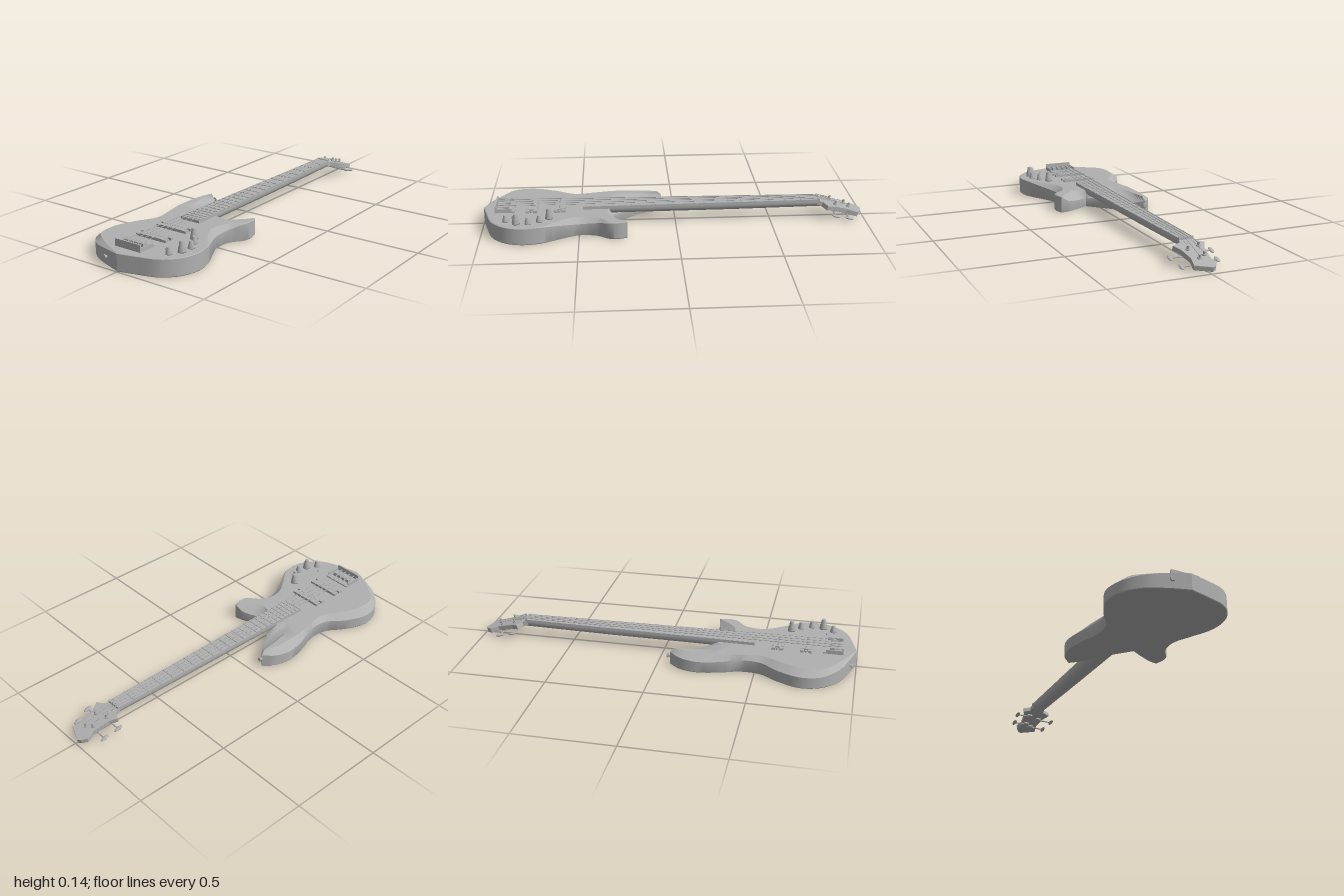
import * as THREE from 'three';
import { toCreasedNormals } from 'three/addons/utils/BufferGeometryUtils.js';

const grey = new THREE.MeshStandardMaterial({ color: 0xb0b0b0 });
grey.name = 'grey';
const V = (x, y, z) => new THREE.Vector3(x, y, z);

function add(parent, name, geometry, x = 0, y = 0, z = 0) {
  const mesh = new THREE.Mesh(geometry, grey);
  mesh.name = name;
  mesh.position.set(x, y, z);
  parent.add(mesh);
  return mesh;
}
const box = (g, name, w, h, d, x, y, z) => add(g, name, new THREE.BoxGeometry(w, h, d), x, y, z);

// Round bar between two points
function rod(g, name, a, b, r, r2 = r, sides = 8) {
  const dir = b.clone().sub(a);
  const m = add(g, name, new THREE.CylinderGeometry(r2, r, dir.length(), sides));
  m.position.copy(a).add(b).multiplyScalar(0.5);
  m.quaternion.setFromUnitVectors(V(0, 1, 0), dir.normalize());
  return m;
}

// Skin closed rings of points; optionally cap the first and last in the xz plane
function skin(rings, capped, crease) {
  const pos = [];
  const tri = (a, b, c) => {
    const n = b.clone().sub(a).cross(c.clone().sub(a));
    if (n.length() > 1e-10) for (const p of [a, b, c]) pos.push(p.x, p.y, p.z);
  };
  for (let k = 0; k < rings.length - 1; k++) {
    const lo = rings[k], hi = rings[k + 1];
    lo.forEach((a, i) => {
      const j = (i + 1) % lo.length;
      tri(a, lo[j], hi[j]);
      tri(a, hi[j], hi[i]);
    });
  }
  if (capped) for (const [ring, up] of [[rings[0], -1], [rings[rings.length - 1], 1]]) {
    const faces = THREE.ShapeUtils.triangulateShape(ring.map(p => new THREE.Vector2(p.x, -p.z)), []);
    for (const f of faces) {
      const [a, b, c] = f.map(i => ring[i]);
      const ny = b.clone().sub(a).cross(c.clone().sub(a)).y;
      if (ny * up > 0) tri(a, b, c); else tri(a, c, b);
    }
  }
  const geo = new THREE.BufferGeometry();
  geo.setAttribute('position', new THREE.Float32BufferAttribute(pos, 3));
  return toCreasedNormals(geo, crease);
}

// Body outline: x, z, edge height, then x, z of the inner line of the carved bevel
const LEFT_SIDE = [
  [-.175, .064, .07, -.168, .085], [-.22, .12, .065, -.185, .14], [-.24, .21, .06, -.192, .22],
  [-.22, .32, .06, -.19, .33], [-.185, .43, .065, -.172, .43], [-.193, .53, .065, -.16, .53],
  [-.25, .62, .06, -.215, .64], [-.297, .74, .06, -.25, .75], [-.275, .84, .06, -.235, .85],
  [-.2, .92, .07, -.17, .905], [-.1, .965, .08, -.085, .955], [0, .997, .087, 0, .993]];
const RIGHT_SIDE = [
  [0, .997, .087, 0, .993], [.085, .975], [.2, .937], [.27, .865], [.294, .78], [.28, .69],
  [.235, .6, .075, .215, .61], [.19, .5, .062, .155, .5], [.2, .41, .07, .175, .4],
  [.243, .345, .086, .237, .34], [.247, .295], [.235, .255]];
const RIGHT_CUT = [[.235, .255], [.19, .265, .06, .2, .3], [.125, .297, .05, .13, .355], [.06, .335, .05, .06, .345]];
const LEFT_CUT = [
  [-.05, .215, .05, -.055, .29], [-.09, .155, .05, -.1, .33], [-.13, .105, .055, -.14, .26],
  [-.175, .064, .07, -.168, .085]];

function bodyGeometry() {
  const base = [], low = [], edge = [], inner = [];
  for (const side of [LEFT_SIDE, RIGHT_SIDE, RIGHT_CUT, LEFT_CUT]) {
    const full = side.map(([x, z, h = .087, ix = x * .987, iz = .6 + (z - .6) * .99]) => [x, z, h, ix, iz]);
    const outerCurve = new THREE.CatmullRomCurve3(full.map(p => V(p[0], p[2], p[1])));
    const innerCurve = new THREE.CatmullRomCurve3(full.map(p => V(p[3], .09, p[4])));
    const n = (side.length - 1) * 6;
    // the last point of a cut toward the neck is kept, shared corners are not repeated
    for (let i = 0; i < n + (side === RIGHT_CUT ? 1 : 0); i++) {
      const o = outerCurve.getPoint(i / n);
      edge.push(o);
      low.push(V(o.x, .004, o.z));
      base.push(V(o.x * .99, 0, .6 + (o.z - .6) * .993));
      inner.push(innerCurve.getPoint(i / n).setY(.09));
    }
  }
  return skin([base, low, edge, inner], true, 0.5);
}

// Rounded underside of the neck at one station
function neckRing(z, left, right, depth) {
  const ring = [], c = (left + right) / 2, w = (right - left) / 2;
  for (let i = 0; i <= 16; i++) {
    const a = Math.PI * i / 16;
    ring.push(V(c - w * Math.cos(a), .092 - depth * Math.sin(a) ** .8, z));
  }
  return ring;
}

// Flat plate from x,z points, extruded upward
function plate(points, depth, bevel = 0) {
  const shape = new THREE.Shape(points.map(([x, z]) => new THREE.Vector2(x, -z)));
  return new THREE.ExtrudeGeometry(shape, {
    depth, bevelEnabled: bevel > 0, bevelSize: bevel, bevelThickness: bevel, bevelOffset: -bevel, bevelSegments: 2,
  }).rotateX(-Math.PI / 2);
}

export function createModel() {
  const g = new THREE.Group();
  g.name = 'bassGuitar';
  add(g, 'body', bodyGeometry());

  // Neck, fretboard, nut and frets
  const NUT = -.755, END = .48;
  const left = z => THREE.MathUtils.mapLinear(z, NUT, END, -.031, -.052);
  const right = z => THREE.MathUtils.mapLinear(z, NUT, END, .042, .063);
  add(g, 'neck', skin([-.785, -.3, .1, .4].map(z => neckRing(z, left(z), right(z), z < -.5 ? .034 : .039)), false, 0.7));
  add(g, 'fretboard', plate([[left(NUT), NUT], [left(END), END], [right(END), END], [right(NUT), NUT]], .015)).position.y = .09;
  box(g, 'nut', .073, .02, .01, .0055, .099, NUT - .004);
  for (let n = 1; n <= 24; n++) {
    const z = NUT + 1.63 * (1 - 2 ** (-n / 12));
    box(g, 'fret', right(z) - left(z), .003, .005, (left(z) + right(z)) / 2, .106, z);
  }

  // Headstock tilted back, with posts and tuning keys
  const head = new THREE.Group();
  head.name = 'headstock';
  head.position.set(0, .1, -.76);
  head.rotation.x = -.28;
  g.add(head);
  const along = z => (z + .76) / Math.cos(.28);
  const outline = [[-.031, -.755], [-.034, -.78], [-.072, -.8], [-.05, -.835], [-.034, -.92], [-.046, -.962], [-.028, -.988],
    [-.01, -.997], [.02, -.985], [.07, -.965], [.058, -.91], [.07, -.84], [.092, -.8], [.046, -.78], [.042, -.755]];
  add(head, 'headPlate', plate(outline.map(([x, z]) => [x, along(z)]), .022, .002)).position.y = -.026;
  const posts = [[-.024, -.825, -1], [-.014, -.9, -1], [.02, -.92, 1], [.04, -.845, 1]];
  const postTops = posts.map(([x, zz, s]) => {
    const z = along(zz), keyX = s < 0 ? x - .065 : x + .075;
    rod(head, 'tunerBush', V(x, -.004, z), V(x, .004, z), .011, .01, 14);
    rod(head, 'tunerPost', V(x, 0, z), V(x, .02, z), .006, .006, 12);
    box(head, 'tunerGear', .028, .012, .026, x, -.031, z);
    rod(head, 'tunerShaft', V(x, -.035, z), V(keyX, -.035, z), .004);
    const key = add(head, 'tunerKey', new THREE.SphereGeometry(1, 14, 10), keyX + s * .008, -.035, z);
    key.scale.set(.011, .006, .024);
    return V(x, .012, z);
  });
  head.updateMatrix();

  // Strings from bridge over the nut to the posts
  for (let i = 0; i < 4; i++) {
    const nut = V(-.02 + i * .017, .11, NUT - .004);
    rod(g, 'string', V(-.038 + i * .03, .117, .88), nut, .0022 - i * .0003, undefined, 6);
    rod(g, 'stringEnd', nut, postTops[i].clone().applyMatrix4(head.matrix), .002 - i * .0003, undefined, 6);
  }

  // Two pickups with screw tabs and pole pieces
  for (const z of [.6, .745]) {
    box(g, 'pickup', .142, .016, .06, .008, .096, z);
    for (const s of [-1, 1]) {
      for (const t of [-1, 1]) box(g, 'pickupCorner', .02, .014, .019, .008 + s * .08, .095, z + t * .02);
      rod(g, 'pickupScrew', V(.008 + s * .08, .088, z), V(.008 + s * .08, .098, z), .006, .006, 10);
    }
    for (let i = 0; i < 8; i++) {
      const x = -.047 + Math.floor(i / 2) * .0305 + (i % 2) * .014;
      rod(g, 'polePiece', V(x, .1, z), V(x, .106, z), .004, .004, 8);
    }
  }

  // Bridge plate, back wall and saddles
  box(g, 'bridgePlate', .153, .008, .1, .008, .093, .88);
  const wall = new THREE.Shape();
  wall.moveTo(-.0765, 0).lineTo(.0765, 0).lineTo(.0765, .029).quadraticCurveTo(.0765, .037, .0685, .037);
  wall.lineTo(-.0685, .037).quadraticCurveTo(-.0765, .037, -.0765, .029);
  add(g, 'bridgeWall', new THREE.ExtrudeGeometry(wall, { depth: .007, bevelEnabled: false }), .008, .09, .925);
  for (const s of [-1, 1]) box(g, 'bridgeSide', .005, .016, .08, .008 + s * .074, .103, .885);
  for (let i = 0; i < 4; i++) {
    const x = -.038 + i * .03;
    box(g, 'saddle', .023, .018, .026, x, .106, .876);
    rod(g, 'saddleScrew', V(x, .108, .88), V(x, .108, .928), .003);
  }

  // Control knobs: two tall, three short
  const knob = (x, z, h, r) => add(g, 'knob', new THREE.LatheGeometry(
    [[0, 0], [r * 1.1, 0], [r * 1.1, h * .12], [r * .95, h * .14], [r, h * .4], [r * .82, h * .46], [r * .62, h * .97], [r * .55, h], [0, h]]
      .map(p => new THREE.Vector2(...p)).map((p, i, a) => p), 20), x, .09, z);
  for (const [x, z, tall] of [[.168, .65, 1], [.207, .697, 0], [.233, .752, 0], [.228, .812, 1], [.197, .866, 0]])
    knob(x, z, tall ? .054 : .035, tall ? .018 : .015);
  rod(g, 'toggle', V(.154, .088, .835), V(.154, .1, .835), .005, .003, 10);

  // Strap buttons on the horn tip and the tail
  for (const [p, d] of [[V(-.172, .046, .07), V(.1, 0, -1)], [V(-.085, .046, .965), V(-.25, 0, 1)]]) {
    d.normalize();
    const at = t => p.clone().addScaledVector(d, t);
    rod(g, 'strapButtonStem', at(-.005), at(.016), .008, .005, 14);
    rod(g, 'strapButtonHead', at(.015), at(.021), .013, .011, 16);
  }
  return g;
}
